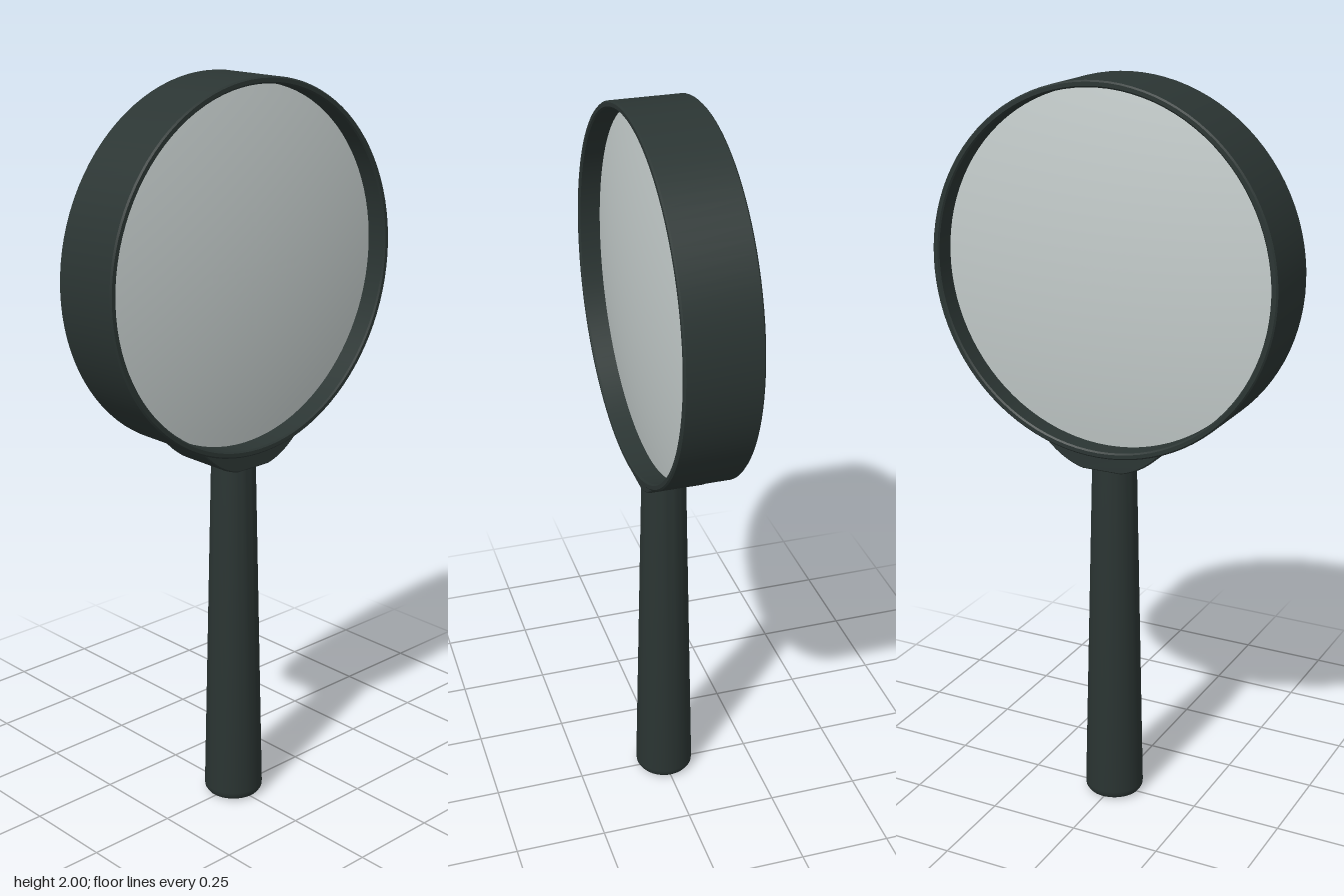
import * as THREE from 'three';
import { toCreasedNormals } from 'three/addons/utils/BufferGeometryUtils.js';

const CENTER_Y = 1.515;

const v = (x, y) => new THREE.Vector2(x, y);

function add(group, name, geometry, material) {
  const mesh = new THREE.Mesh(geometry, material);
  mesh.name = name;
  group.add(mesh);
  return mesh;
}

// Lathe with sharp edges kept at the corners of its profile
function turned(points, segments) {
  return toCreasedNormals(new THREE.LatheGeometry(points, segments), 0.6);
}

export function createModel() {
  const model = new THREE.Group();
  model.name = 'magnifyingGlass';

  const frame = new THREE.MeshStandardMaterial({ color: 0x2b3533 });
  frame.name = 'dark frame';
  const glass = new THREE.MeshStandardMaterial({ color: 0xc4cccb });
  glass.name = 'pale glass';

  // Rim: thin-walled ring with lightly bevelled lips
  const rimProfile = [
    v(0.467, -0.094), v(0.471, -0.098), v(0.481, -0.098), v(0.485, -0.094),
    v(0.485, 0.094), v(0.481, 0.098), v(0.471, 0.098), v(0.467, 0.094), v(0.467, -0.094),
  ];
  const rim = add(model, 'rim', turned(rimProfile, 96), frame);
  rim.rotation.x = Math.PI / 2;
  rim.position.y = CENTER_Y;

  // Lens: shallow dome on both faces, recessed inside the rim
  const lensProfile = [];
  const steps = 16, radius = 0.469, edge = 0.04, bulge = 0.04;
  for (let i = -steps; i <= steps; i++) {
    const t = 1 - Math.abs(i) / steps;
    const side = i < 0 ? -1 : 1;
    const height = edge + bulge * (1 - t * t);
    if (i === 0) lensProfile.push(v(radius, -edge), v(radius, edge));
    else lensProfile.push(v(radius * t, side * height));
  }
  const lens = add(model, 'lens', turned(lensProfile, 96), glass);
  lens.rotation.x = Math.PI / 2;
  lens.position.y = CENTER_Y;

  // Neck: curved bracket hugging the underside of the rim
  const r = 0.48, a = Math.asin(0.175 / r);
  const shape = new THREE.Shape();
  shape.moveTo(-0.175, CENTER_Y - r * Math.cos(a));
  shape.quadraticCurveTo(-0.12, 1.005, -0.055, 0.99);
  shape.lineTo(0.055, 0.99);
  shape.quadraticCurveTo(0.12, 1.005, 0.175, CENTER_Y - r * Math.cos(a));
  shape.absarc(0, CENTER_Y, r, -Math.PI / 2 + a, -Math.PI / 2 - a, true);
  const neckGeometry = new THREE.ExtrudeGeometry(shape, {
    depth: 0.14, curveSegments: 16,
    bevelEnabled: true, bevelThickness: 0.008, bevelSize: 0.004, bevelSegments: 2,
  });
  neckGeometry.translate(0, 0, -0.07);
  add(model, 'neck', toCreasedNormals(neckGeometry, 0.6), frame);

  // Handle: tapered grip with a rounded foot
  const handleProfile = [
    v(0, 0), v(0.064, 0), v(0.074, 0.005), v(0.08, 0.014), v(0.081, 0.025),
    v(0.06, 0.975), v(0.06, 1.01), v(0, 1.01),
  ];
  add(model, 'handle', turned(handleProfile, 48), frame);

  return model;
}
